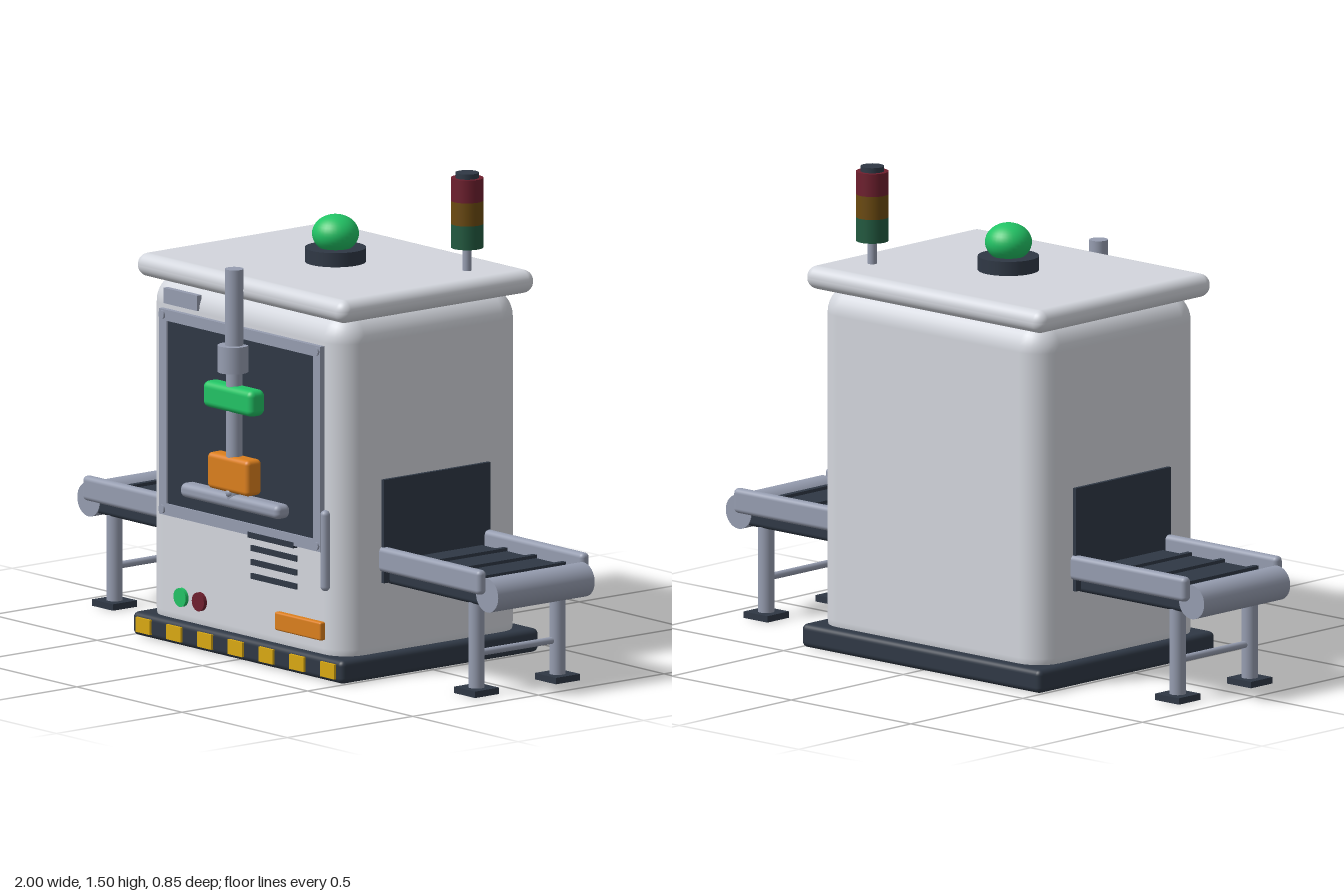
import * as THREE from 'three';
import { RoundedBoxGeometry } from 'three/addons/geometries/RoundedBoxGeometry.js';

const material = (name, color) => {
  const m = new THREE.MeshStandardMaterial({ color });
  m.name = name;
  return m;
};

export function createModel() {
  const model = new THREE.Group();
  model.name = 'inspectionMachine';

  const shell = material('shell grey', 0xd3d6dd);
  const dark = material('charcoal', 0x2f3845);
  const steel = material('steel', 0x969db0);
  const green = material('bright green', 0x22c365);
  const orange = material('orange', 0xdb7f1e);
  const yellow = material('hazard yellow', 0xd9a912);
  const red = material('lamp red', 0x6e1f2e);
  const amber = material('lamp amber', 0x6b4a10);
  const lampGreen = material('lamp green', 0x225a40);

  const add = (name, geometry, mat, x, y, z, parent = model) => {
    const mesh = new THREE.Mesh(geometry, mat);
    mesh.name = name;
    mesh.position.set(x, y, z);
    parent.add(mesh);
    return mesh;
  };
  // Box given by its extents; r > 0 rounds the edges
  const box = (name, mat, [x0, x1], [y0, y1], [z0, z1], r = 0, parent = model) => {
    const size = [x1 - x0, y1 - y0, z1 - z0];
    const geometry = r ? new RoundedBoxGeometry(...size, 4, r) : new THREE.BoxGeometry(...size);
    return add(name, geometry, mat, (x0 + x1) / 2, (y0 + y1) / 2, (z0 + z1) / 2, parent);
  };
  // Upright cylinder from y0 to y1
  const post = (name, mat, r, x, [y0, y1], z, parent = model) =>
    add(name, new THREE.CylinderGeometry(r, r, y1 - y0, 32), mat, x, (y0 + y1) / 2, z, parent);
  // Cylinder lying along z
  const axle = (name, mat, r, length, x, y, z, parent = model) => {
    const mesh = add(name, new THREE.CylinderGeometry(r, r, length, 32), mat, x, y, z, parent);
    mesh.rotation.x = Math.PI / 2;
    return mesh;
  };

  // Cabinet
  box('base', dark, [-0.5, 0.5], [0, 0.073], [-0.425, 0.363], 0.018);
  box('cabinet', shell, [-0.47, 0.47], [0.002, 1.135], [-0.39, 0.336], 0.09);
  box('roof', shell, [-0.497, 0.497], [1.118, 1.19], [-0.418, 0.358], 0.034);
  for (let i = -3; i <= 3; i++) {
    const x = i * 0.146;
    box('hazardStripe', yellow, [x - 0.034, x + 0.034], [0.014, 0.06], [0.362, 0.371]);
  }

  // Beacon
  post('beaconBase', dark, 0.094, 0, [1.185, 1.234], -0.03);
  add('beaconDome', new THREE.SphereGeometry(0.072, 32, 20), green, 0, 1.277, -0.03).scale.y = 0.82;

  // Signal tower
  const tower = new THREE.Group();
  tower.name = 'signalTower';
  tower.position.set(0.363, 0, -0.25);
  model.add(tower);
  post('towerPole', steel, 0.014, 0, [1.18, 1.27], 0, tower);
  post('greenLamp', lampGreen, 0.05, 0, [1.262, 1.336], 0, tower);
  post('amberLamp', amber, 0.05, 0, [1.336, 1.408], 0, tower);
  post('redLamp', red, 0.05, 0, [1.408, 1.479], 0, tower);
  post('towerCap', dark, 0.036, 0, [1.479, 1.495], 0, tower);

  // Window with frame and corner bolts
  const frame = new THREE.Shape();
  const rect = (path, x0, y0, x1, y1) =>
    path.moveTo(x0, y0).lineTo(x1, y0).lineTo(x1, y1).lineTo(x0, y1).closePath();
  rect(frame, -0.383, 0.394, 0.383, 1.034);
  const opening = new THREE.Path();
  rect(opening, -0.348, 0.43, 0.348, 1.0);
  frame.holes.push(opening);
  add('windowFrame', new THREE.ExtrudeGeometry(frame, { depth: 0.022, bevelEnabled: false }), steel, 0, 0, 0.33);
  box('windowPane', dark, [-0.35, 0.35], [0.428, 1.002], [0.337, 0.346]);
  for (const x of [-0.366, 0.366])
    for (const y of [0.411, 1.017]) axle('frameBolt', steel, 0.013, 0.014, x, y, 0.351);

  // Front panel fittings
  box('namePlate', steel, [-0.373, -0.212], [1.05, 1.098], [0.325, 0.343]);
  for (let i = 0; i < 4; i++) {
    const y = 0.265 + i * 0.0435;
    box('ventSlot', dark, [0.04, 0.257], [y - 0.009, y + 0.009], [0.33, i === 3 ? 0.354 : 0.341]);
  }
  add('doorHandle', new THREE.CapsuleGeometry(0.015, 0.222, 6, 16), steel, 0.4, 0.401, 0.346);
  axle('startButton', green, 0.029, 0.024, -0.29, 0.146, 0.336);
  axle('stopButton', red, 0.029, 0.024, -0.203, 0.146, 0.336);
  box('warningPlate', orange, [0.167, 0.386], [0.118, 0.175], [0.325, 0.354], 0.006);

  // Press arm in front of the window
  const arm = new THREE.Group();
  arm.name = 'pressArm';
  model.add(arm);
  post('cylinderTube', steel, 0.029, 0, [0.94, 1.22], 0.373, arm);
  post('collar', steel, 0.047, 0, [0.9, 0.983], 0.378, arm);
  post('pistonRod', steel, 0.025, 0, [0.5, 0.92], 0.373, arm);
  box('greenClamp', green, [-0.118, 0.118], [0.776, 0.858], [0.343, 0.406], 0.02, arm);
  box('orangeHead', orange, [-0.098, 0.098], [0.526, 0.638], [0.342, 0.403], 0.015, arm);
  box('tray', steel, [-0.234, 0.234], [0.475, 0.52], [0.342, 0.398], 0.018, arm);
  add('trayPin', new THREE.SphereGeometry(0.014, 16, 12), steel, 0, 0.524, 0.39, arm);

  // Conveyors, one on each side
  for (const side of [-1, 1]) {
    const conveyor = new THREE.Group();
    conveyor.name = side > 0 ? 'leftConveyor' : 'rightConveyor';
    conveyor.position.z = -0.032;
    if (side < 0) conveyor.rotation.y = Math.PI;
    model.add(conveyor);
    box('tunnelPanel', dark, [0.46, 0.482], [0.29, 0.612], [-0.212, 0.212], 0, conveyor);
    box('belt', dark, [0.45, 0.925], [0.283, 0.358], [-0.19, 0.19], 0.015, conveyor);
    for (const x of [0.592, 0.73, 0.87])
      box('beltCleat', dark, [x - 0.009, x + 0.009], [0.35, 0.368], [-0.18, 0.18], 0, conveyor);
    axle('endRoller', steel, 0.053, 0.384, 0.947, 0.323, 0, conveyor);
    for (const s of [-1, 1]) {
      const z = s * 0.205;
      box('sideRail', steel, [0.45, 0.945], [0.325, 0.402], [z - 0.017, z + 0.017], 0.015, conveyor);
      post('leg', steel, 0.025, 0.86, [0.01, 0.3], s * 0.161, conveyor);
      box('foot', dark, [0.81, 0.91], [0, 0.02], [s * 0.161 - 0.048, s * 0.161 + 0.048], 0, conveyor);
    }
    axle('legBrace', steel, 0.011, 0.32, 0.86, 0.126, 0, conveyor);
  }

  return model;
}
